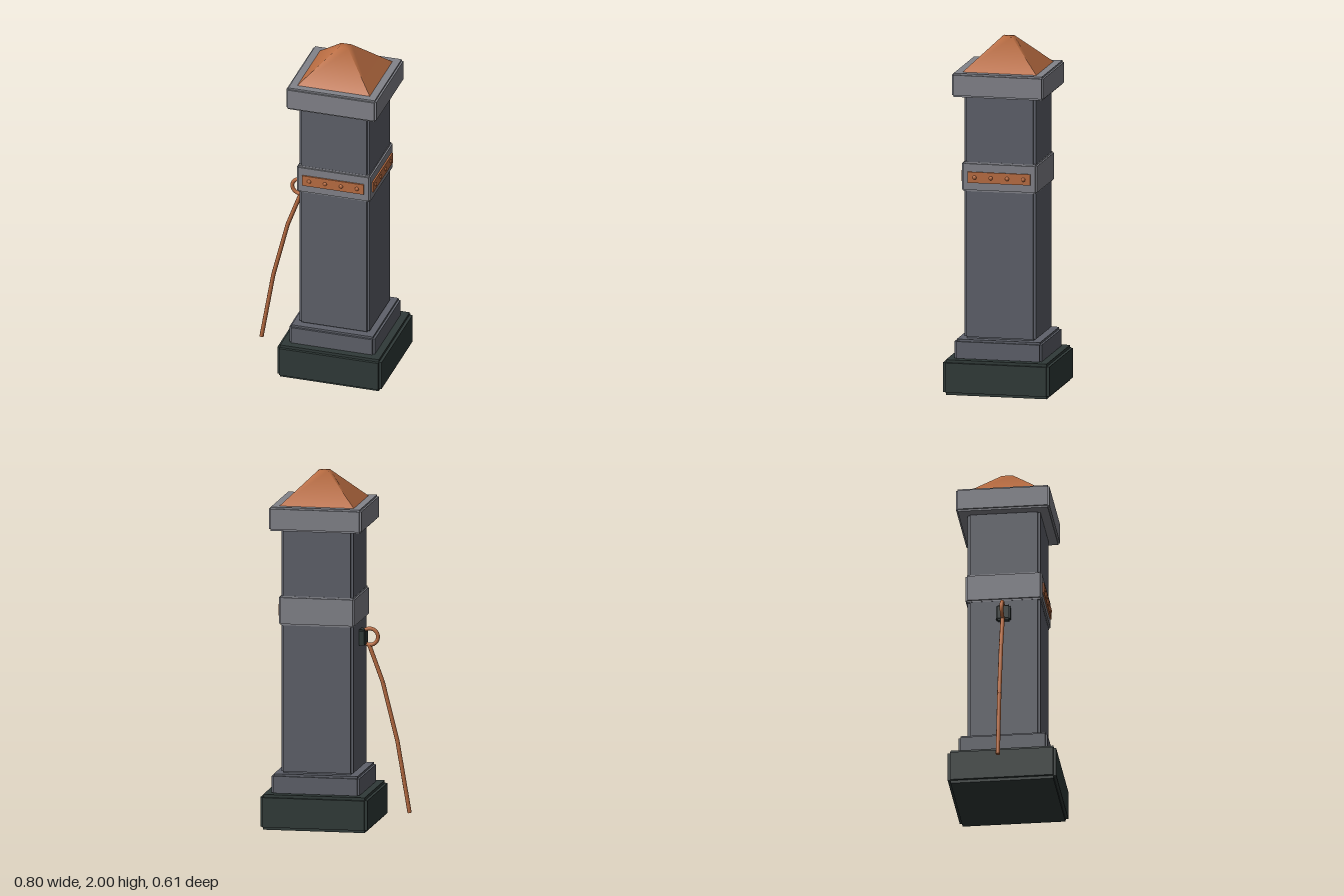
import * as THREE from 'three';
import { mergeGeometries } from 'three/addons/utils/BufferGeometryUtils.js';

const mat = (name, color) => new THREE.MeshStandardMaterial({ name, color });

// Block with notched edges: three crossed boxes
function notchedBlock(w, h, d, b) {
  const c = 2 * b;
  return mergeGeometries([
    new THREE.BoxGeometry(w, h - c, d - c),
    new THREE.BoxGeometry(w - c, h, d - c),
    new THREE.BoxGeometry(w - c, h - c, d),
  ]);
}

export function createModel() {
  const stone = mat('slate stone', 0x5e616a);
  const trim = mat('pale stone', 0x82838a);
  const iron = mat('dark iron', 0x303a38);
  const copper = mat('copper', 0xba6d42);

  const model = new THREE.Group();
  model.name = 'stonePost';
  const post = new THREE.Group();
  post.name = 'post';
  post.position.x = 0.097;
  model.add(post);

  const add = (parent, name, geometry, material, x = 0, y = 0, z = 0) => {
    const mesh = new THREE.Mesh(geometry, material);
    mesh.name = name;
    mesh.position.set(x, y, z);
    parent.add(mesh);
    return mesh;
  };

  // Stacked square blocks: name, width, bottom, top, notch, material
  [
    ['base', 0.61, 0, 0.2, 0.016, iron],
    ['plinth', 0.5, 0.19, 0.31, 0.012, stone],
    ['shaft', 0.41, 0.305, 1.7, 0.014, stone],
    ['band', 0.43, 1.148, 1.315, 0.009, trim],
    ['capital', 0.526, 1.69, 1.825, 0.01, trim],
  ].forEach(([name, w, y0, y1, b, m]) =>
    add(post, name, notchedBlock(w, y1 - y0, w, b), m, 0, (y0 + y1) / 2));

  // Pyramid roof, crisp at the eaves and softened towards the blunt tip
  const roof = new THREE.CylinderGeometry(0.03 * Math.SQRT2, 0.217 * Math.SQRT2, 0.18, 4)
    .rotateY(Math.PI / 4).toNonIndexed();
  roof.computeVertexNormals();
  const p = roof.attributes.position;
  const n = new THREE.Vector3();
  for (let i = 0; i < p.count; i++) {
    if (p.getY(i) < 0) continue;
    n.set(0.69 * Math.sign(p.getX(i)), 1.5, 0.69 * Math.sign(p.getZ(i))).normalize();
    roof.attributes.normal.setXYZ(i, n.x, n.y, n.z);
  }
  add(post, 'roof', roof, copper, 0, 1.91);

  // Riveted plates on the front and left faces of the band
  [['frontPlate', 0], ['leftPlate', Math.PI / 2]].forEach(([name, turn]) => {
    const group = new THREE.Group();
    group.name = name;
    group.rotation.y = turn;
    post.add(group);
    add(group, 'plate', new THREE.BoxGeometry(0.36, 0.062, 0.012), copper, 0, 1.23, 0.218);
    for (const x of [-0.14, -0.047, 0.047, 0.14]) {
      const rivet = add(group, 'rivet', new THREE.SphereGeometry(0.012, 10, 8), copper, x, 1.23, 0.223);
      rivet.scale.z = 0.7;
    }
  });

  // Iron mount and hanging ring on the right face
  add(model, 'ringMount', notchedBlock(0.045, 0.09, 0.08, 0.008), iron, -0.125, 1.062);
  add(model, 'ring', new THREE.TorusGeometry(0.046, 0.011, 10, 28), copper, -0.165, 1.064);

  // Hanging line made of straight links
  const points = [[-0.16, 1.02], [-0.238, 0.81], [-0.322, 0.475], [-0.391, 0.072]]
    .map(([x, y]) => new THREE.Vector3(x, y, 0));
  for (let i = 0; i < points.length - 1; i++) {
    const dir = points[i + 1].clone().sub(points[i]);
    const link = add(model, 'lineLink', new THREE.CylinderGeometry(0.012, 0.012, dir.length(), 8), copper);
    link.position.copy(points[i]).addScaledVector(dir, 0.5);
    link.quaternion.setFromUnitVectors(new THREE.Vector3(0, 1, 0), dir.normalize());
  }
  return model;
}
